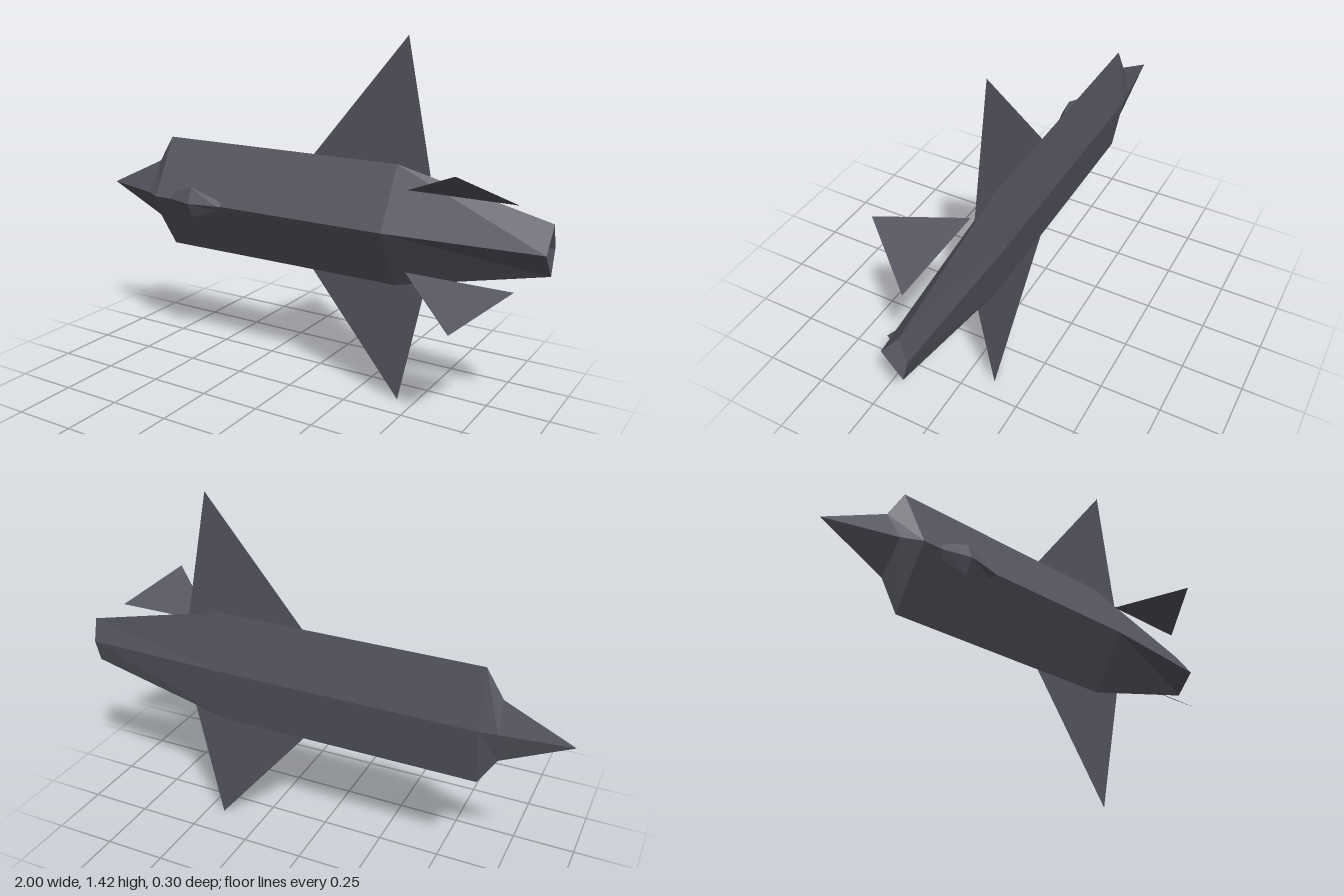
import * as THREE from 'three';

const CENTRE_Y = 0.711; // height of the long axis
const SIDE_Z = -0.115; // plane of the side edges and wings

const material = new THREE.MeshStandardMaterial({
  color: 0x555560, flatShading: true, side: THREE.DoubleSide,
});

function makeMesh(name, triangles) {
  const geometry = new THREE.BufferGeometry();
  geometry.setAttribute('position', new THREE.Float32BufferAttribute(triangles.flat(), 3));
  geometry.computeVertexNormals();
  const mesh = new THREE.Mesh(geometry, material);
  mesh.name = name;
  return mesh;
}

// Skins diamond cross-sections [x, half width, ridge z, side z, keel z] along x, ends left open.
function diamondHull(name, sections) {
  const rings = sections.map(([x, half, ridge, side, keel]) => [
    [x, CENTRE_Y, ridge], [x, CENTRE_Y + half, side],
    [x, CENTRE_Y, keel], [x, CENTRE_Y - half, side],
  ]);
  const triangles = [];
  for (let i = 0; i < rings.length - 1; i++) {
    for (let j = 0; j < 4; j++) {
      const k = (j + 1) % 4;
      const a = rings[i][j], b = rings[i][k], c = rings[i + 1][j], d = rings[i + 1][k];
      if (sections[i][1] > 0) triangles.push(a, c, b);
      if (sections[i + 1][1] > 0) triangles.push(c, d, b);
    }
  }
  return makeMesh(name, triangles);
}

// Thin triangular surface from corners [x, distance from axis, z], on one side of the axis.
function thinPanel(name, corners, sign) {
  const points = corners.map(([x, out, z]) => [x, CENTRE_Y + sign * out, z]);
  if (sign < 0) points.reverse();
  return makeMesh(name, points);
}

export function createModel() {
  const model = new THREE.Group();
  model.name = 'aircraft';

  // Body from pointed nose to open exhaust
  model.add(diamondHull('fuselage', [
    [-1, 0, SIDE_Z, SIDE_Z, SIDE_Z],
    [-0.735, 0.125, -0.03, SIDE_Z, -0.146],
    [-0.665, 0.237, 0.012, SIDE_Z, -0.155],
    [0.4, 0.237, 0.012, SIDE_Z, -0.155],
    [1, 0.095, -0.04, SIDE_Z, -0.14],
  ]));

  // Canopy on the ridge
  model.add(diamondHull('canopy', [
    [-0.6, 0, 0.005, 0.005, 0.005],
    [-0.56, 0.034, 0.018, 0.0, -0.02],
    [-0.47, 0.063, 0.044, 0.015, -0.02],
    [-0.345, 0.022, 0.018, 0.004, -0.02],
    [-0.31, 0, 0.008, 0.008, 0.008],
  ]));

  // Mirrored wings and canted tail fins
  for (const [label, sign] of [['upper', 1], ['lower', -1]]) {
    model.add(thinPanel(label + 'Wing',
      [[0.535, 0.205, SIDE_Z], [0.43, 0.711, SIDE_Z], [0.04, 0.237, SIDE_Z]], sign));
    model.add(thinPanel(label + 'TailFin',
      [[0.47, 0.158, -0.061], [0.89, 0.158, -0.061], [0.735, 0.281, 0.148]], sign));
  }
  return model;
}
